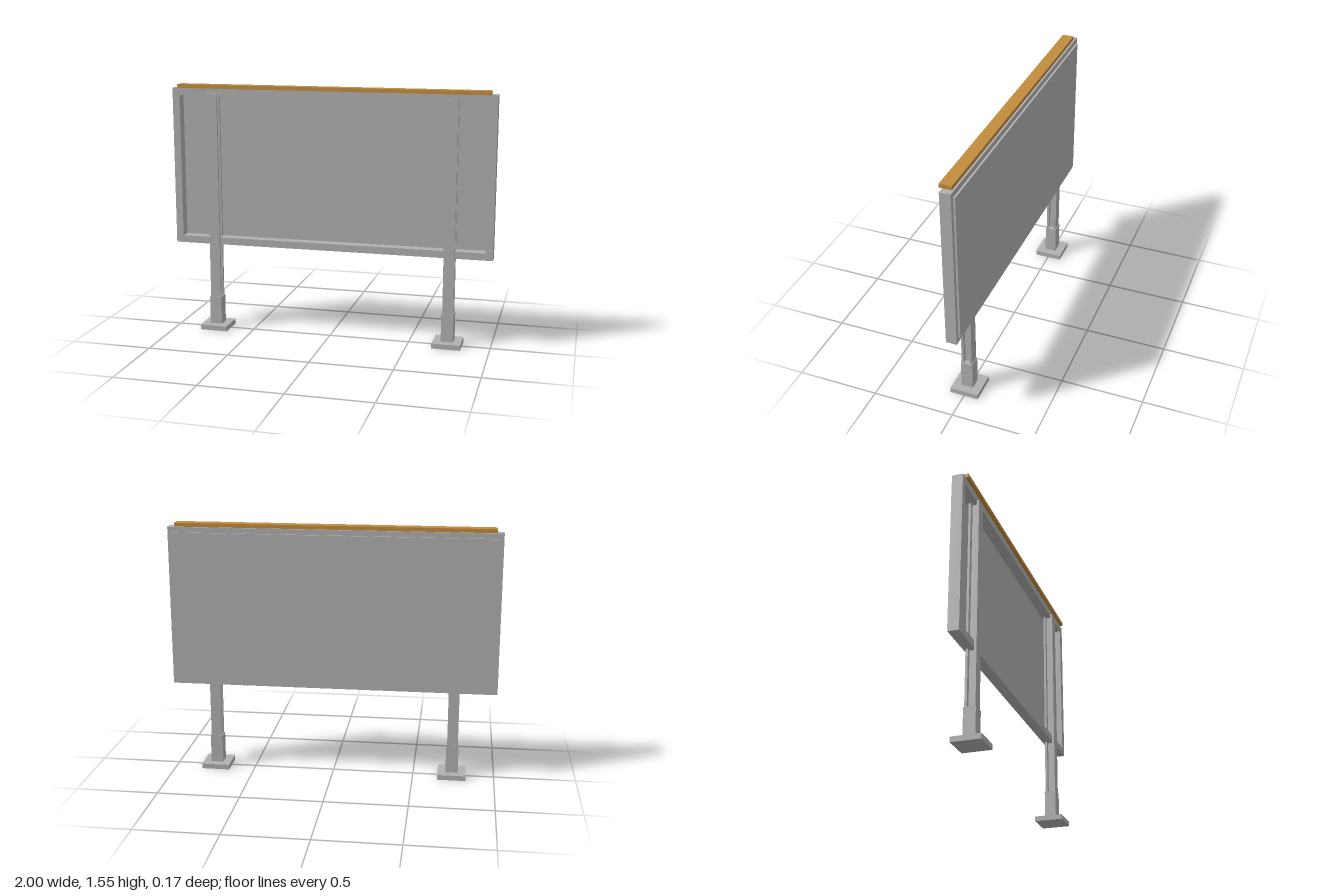
import * as THREE from 'three';

export function createModel() {
  const model = new THREE.Group();
  model.name = 'billboard';

  const steel = new THREE.MeshStandardMaterial({ color: 0xb0b0b0 });
  steel.name = 'grey steel';
  const wood = new THREE.MeshStandardMaterial({ color: 0xc28c3e });
  wood.name = 'orange wood';

  // Box given by its lower and upper limits on each axis
  function box(parent, name, material, [x0, x1], [y0, y1], [z0, z1]) {
    const mesh = new THREE.Mesh(new THREE.BoxGeometry(x1 - x0, y1 - y0, z1 - z0), material);
    mesh.position.set((x0 + x1) / 2, (y0 + y1) / 2, (z0 + z1) / 2);
    mesh.name = name;
    parent.add(mesh);
  }

  const rectangle = (path, w, h) =>
    path.moveTo(-w, -h).lineTo(w, -h).lineTo(w, h).lineTo(-w, h).closePath();

  // Rectangular frame, open to the front
  const boardY = 1.04;
  const outline = new THREE.Shape();
  rectangle(outline, 1, 0.49);
  const opening = new THREE.Path();
  rectangle(opening, 0.955, 0.446);
  outline.holes.push(opening);
  const frame = new THREE.Mesh(
    new THREE.ExtrudeGeometry(outline, { depth: 0.065, bevelEnabled: false }), steel);
  frame.position.set(0, boardY, -0.047);
  frame.name = 'boardFrame';
  model.add(frame);

  // Display panel fixed to the back of the frame
  box(model, 'displayPanel', steel, [-0.975, 0.975], [0.582, 1.498], [-0.059, -0.047]);

  // Cap rail along the top
  box(model, 'capRail', wood, [-0.96, 0.96], [1.53, 1.553], [-0.036, 0.036]);

  // Two I-beam posts, each in a sleeve on a base plate
  for (const side of [-1, 1]) {
    const post = new THREE.Group();
    post.name = side > 0 ? 'leftPost' : 'rightPost';
    post.position.x = side * 0.741;
    box(post, 'basePlate', steel, [-0.087, 0.087], [0, 0.031], [-0.087, 0.087]);
    box(post, 'sleeve', steel, [-0.038, 0.038], [0.031, 0.208], [-0.036, 0.036]);
    box(post, 'web', steel, [-0.007, 0.007], [0.208, 1.498], [-0.0175, 0.0175]);
    box(post, 'frontFlange', steel, [-0.033, 0.033], [0.208, 1.498], [0.0175, 0.032]);
    box(post, 'backFlange', steel, [-0.033, 0.033], [0.208, 1.498], [-0.032, -0.0175]);
    model.add(post);
  }

  return model;
}
